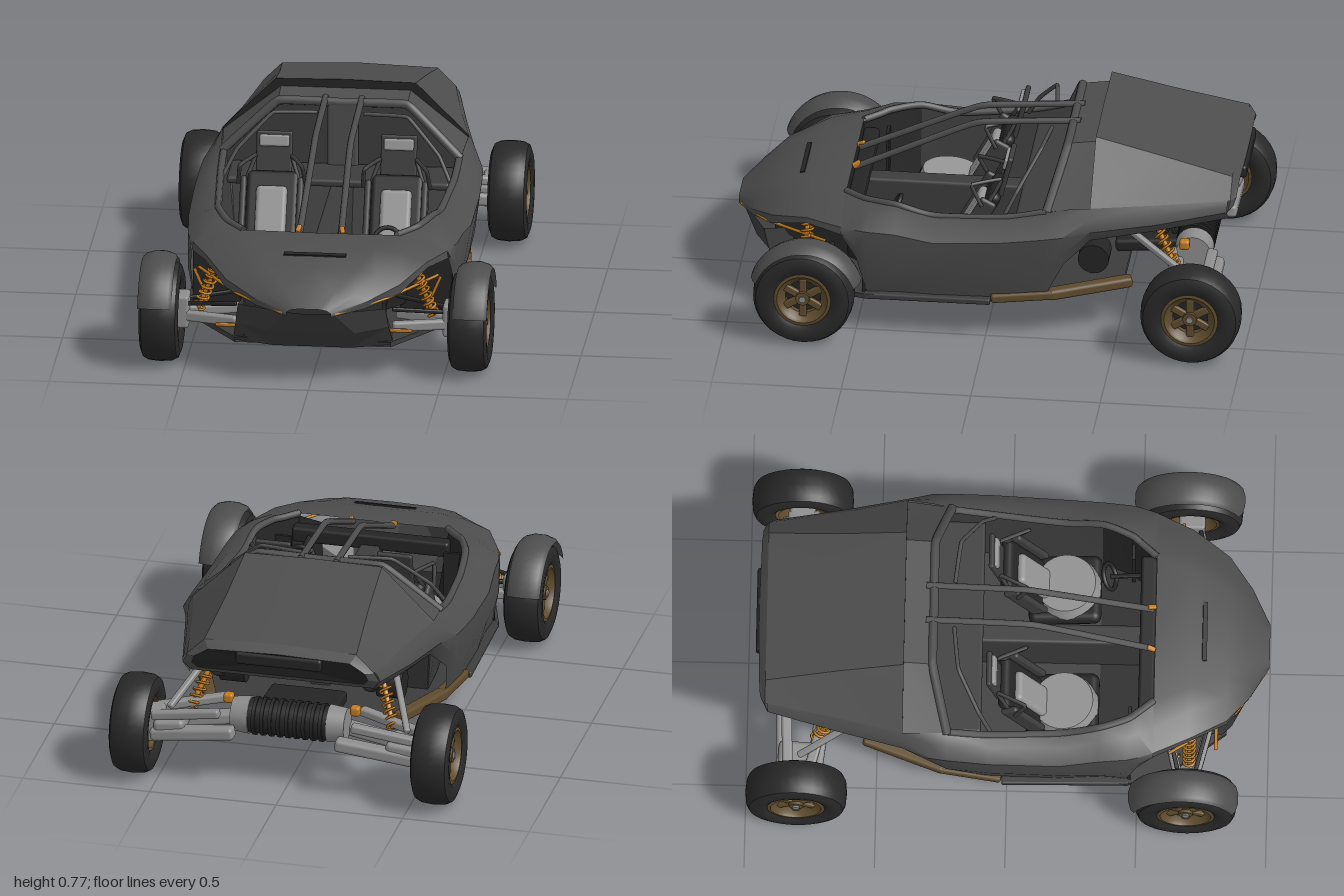
import * as THREE from 'three';
import { toCreasedNormals } from 'three/addons/utils/BufferGeometryUtils.js';
import { RoundedBoxGeometry } from 'three/addons/geometries/RoundedBoxGeometry.js';

const mat = (name, color, side = THREE.FrontSide) => {
  const m = new THREE.MeshStandardMaterial({ color, side });
  m.name = name;
  return m;
};
const V = (p) => new THREE.Vector3(...p);

export function createModel() {
  const car = new THREE.Group();
  car.name = 'buggy';
  const paint = mat('graphite paint', 0x4d4d4d, THREE.DoubleSide);
  const trim = mat('black trim', 0x242424, THREE.DoubleSide);
  const panel = mat('dark panel', 0x3c3c3c, THREE.DoubleSide);
  const rubber = mat('tyre rubber', 0x282828);
  const bronze = mat('bronze', 0x5e4b2d, THREE.DoubleSide);
  const orange = mat('orange', 0xc07a1c);
  const metal = mat('light metal', 0x8c8c8c);
  const fabric = mat('seat fabric', 0x949494);

  const add = (name, geo, m, pos = [0, 0, 0], rot = [0, 0, 0], parent = car) => {
    const mesh = new THREE.Mesh(geo, m);
    mesh.name = name;
    mesh.position.set(...pos);
    mesh.rotation.set(...rot);
    parent.add(mesh);
    return mesh;
  };
  const rbox = (w, h, d, r = 0.012) => new RoundedBoxGeometry(w, h, d, 2, r);

  // Skin over rows of half-section points [x, y, z], mirrored to both sides
  const skin = (name, rows, m, crease = 0.5) => {
    const pos = [], idx = [], n = rows[0].length;
    for (const s of [1, -1]) {
      const base = pos.length / 3;
      rows.forEach((row) => row.forEach(([x, y, z]) => pos.push(s * x, y, z)));
      for (let r = 0; r < rows.length - 1; r++) for (let c = 0; c < n - 1; c++) {
        const a = base + r * n + c, b = a + 1, d = a + n, e = d + 1;
        if (s > 0) idx.push(a, b, d, b, e, d);
        else idx.push(a, d, b, b, d, e);
      }
    }
    const g = new THREE.BufferGeometry();
    g.setAttribute('position', new THREE.Float32BufferAttribute(pos, 3));
    g.setIndex(idx);
    return add(name, toCreasedNormals(g, crease), m);
  };
  const at = (z, pts) => pts.map(([x, y]) => [x, y, z]);

  // Tube through points, straight beam, and coil spring between two points
  const tube = (name, pts, r, m, smooth = 0.1) => add(name, new THREE.TubeGeometry(
    new THREE.CatmullRomCurve3(pts.map(V), false, 'catmullrom', smooth), pts.length * 8, r, 8), m);
  const beam = (name, a, b, w, h, m) => {
    const len = V(a).distanceTo(V(b));
    const mesh = add(name, rbox(w, h, len, Math.min(w, h) * 0.3), m, V(a).lerp(V(b), 0.5).toArray());
    mesh.lookAt(V(b));
    return mesh;
  };
  const coil = (name, a, b, R, turns, m) => {
    const len = V(a).distanceTo(V(b)), pts = [];
    for (let i = 0; i <= turns * 10; i++) {
      const t = i / 10 * Math.PI * 2;
      pts.push(V([R * Math.cos(t), R * Math.sin(t), len * (i / (turns * 10) - 0.5)]));
    }
    const g = new THREE.TubeGeometry(new THREE.CatmullRomCurve3(pts), turns * 12, R * 0.25, 5);
    add(name, g, m, V(a).lerp(V(b), 0.5).toArray()).lookAt(V(b));
    beam(name + 'Damper', a, b, R * 0.8, R * 0.8, m);
  };

  // Hood shell, from the nose back to the cowl
  skin('hood', [
    at(1.0, [[0, 0.33], [0.04, 0.33], [0.07, 0.325], [0.085, 0.315], [0.085, 0.30]]),
    at(0.93, [[0, 0.385], [0.1, 0.38], [0.17, 0.365], [0.22, 0.345], [0.21, 0.315]]),
    at(0.84, [[0, 0.44], [0.17, 0.437], [0.25, 0.425], [0.335, 0.385], [0.335, 0.35]]),
    at(0.70, [[0, 0.475], [0.23, 0.48], [0.33, 0.465], [0.425, 0.43], [0.43, 0.41]]),
    at(0.56, [[0, 0.485], [0.30, 0.487], [0.40, 0.47], [0.49, 0.43], [0.495, 0.40]]),
  ], paint, 0.7);
  add('hoodVent', new THREE.BoxGeometry(0.24, 0.008, 0.018), trim, [0, 0.464, 0.75], [0.25, 0, 0]);

  // Body sides, from the wheel arch to the tail
  const sides = [
    at(0.56, [[0.30, 0.487], [0.40, 0.47], [0.49, 0.43], [0.5, 0.41], [0.495, 0.40]]),
    at(0.50, [[0.35, 0.49], [0.43, 0.48], [0.51, 0.43], [0.515, 0.36], [0.505, 0.31]]),
    at(0.46, [[0.38, 0.495], [0.45, 0.485], [0.52, 0.43], [0.52, 0.29], [0.495, 0.16]]),
    at(0.35, [[0.42, 0.50], [0.47, 0.48], [0.53, 0.43], [0.53, 0.28], [0.49, 0.16]]),
    at(0.20, [[0.435, 0.47], [0.49, 0.46], [0.545, 0.41], [0.535, 0.28], [0.5, 0.16]]),
    at(-0.07, [[0.455, 0.49], [0.5, 0.48], [0.55, 0.43], [0.53, 0.28], [0.5, 0.17]]),
    at(-0.23, [[0.46, 0.525], [0.505, 0.50], [0.545, 0.45], [0.52, 0.29], [0.48, 0.18]]),
    at(-0.30, [[0.467, 0.545], [0.50, 0.515], [0.54, 0.46], [0.52, 0.38], [0.50, 0.325]]),
    at(-0.40, [[0.475, 0.56], [0.495, 0.52], [0.505, 0.47], [0.48, 0.44], [0.46, 0.415]]),
    at(-0.65, [[0.42, 0.56], [0.44, 0.53], [0.45, 0.49], [0.44, 0.47], [0.42, 0.45]]),
    at(-0.92, [[0.37, 0.57], [0.385, 0.55], [0.39, 0.53], [0.375, 0.51], [0.36, 0.49]]),
  ];
  skin('bodySides', sides, paint, 0.6);

  // Roof hoop, intake step and rear deck
  const hoopFront = [[0, 0.72, -0.29], [0.25, 0.72, -0.29], [0.46, 0.53, -0.23]];
  const hoopBack = at(-0.40, [[0, 0.735], [0.25, 0.735], [0.472, 0.553]]);
  const deckFront = at(-0.40, [[0, 0.77], [0.27, 0.765], [0.475, 0.56]]);
  skin('roofHoop', [hoopFront, hoopBack], paint, 0.3);
  skin('roofIntake', [hoopBack, deckFront], trim, 0.3);
  skin('rearDeck', [deckFront, at(-0.65, [[0, 0.715], [0.28, 0.705], [0.42, 0.56]]),
    at(-0.93, [[0, 0.65], [0.30, 0.64], [0.37, 0.57]])], paint, 0.3);

  // Tail fascia with recessed panel, and the liner below the deck
  const tailOuter = [[0, 0.65, -0.93], [0.30, 0.64, -0.93], [0.37, 0.57, -0.93], [0.39, 0.53, -0.92], [0.36, 0.49, -0.90], [0, 0.49, -0.90]];
  const tailInner = [[0, 0.62, -0.96], [0.28, 0.61, -0.955], [0.34, 0.57, -0.95], [0.35, 0.54, -0.94], [0.33, 0.515, -0.925], [0, 0.515, -0.925]];
  skin('tailFascia', [tailOuter, tailInner], paint, 0.3);
  skin('tailPanel', [tailInner, tailInner.map(() => [0, 0.565, -0.93])], trim, 0.3);
  add('tailBar', rbox(0.34, 0.05, 0.03), trim, [0, 0.59, -0.955]);
  skin('deckLiner', [at(-0.36, [[0, 0.52], [0.38, 0.5], [0.46, 0.42]]), at(-0.65, [[0, 0.53], [0.36, 0.51], [0.42, 0.455]]),
    at(-0.90, [[0, 0.51], [0.3, 0.51], [0.36, 0.49]])], trim);
  tube('rearCrossStrip', [[-0.36, 0.45, -0.70], [-0.2, 0.455, -0.75], [0.2, 0.455, -0.75], [0.36, 0.45, -0.70]], 0.014, orange, 0.5);

  // Faceted front bumper
  skin('bumper', [
    [[0, 0.305, 0.99], [0.09, 0.31, 0.985], [0.285, 0.30, 0.88], [0.27, 0.30, 0.78]],
    [[0, 0.21, 0.935], [0.17, 0.21, 0.92], [0.295, 0.22, 0.86], [0.28, 0.22, 0.76]],
    [[0, 0.13, 0.86], [0.15, 0.13, 0.86], [0.31, 0.13, 0.81], [0.3, 0.13, 0.72]],
  ], panel, 0.1);

  // Floor plate, rising towards the rear
  skin('floor', [[0.30, 0.13, 0.84], [0.47, 0.137, 0.62], [0.52, 0.142, 0.46], [0.5, 0.15, -0.02], [0.47, 0.165, -0.25], [0.36, 0.185, -0.52]]
    .map(([x, y, z]) => [[0, y + 0.02, z], [x, y + 0.02, z], [x, y, z], [0, y, z]]), panel, 0.3);

  // Cockpit tub with footwell, tunnel, shelf and bulkhead
  const tub = [
    at(0.84, [[0.27, 0.32], [0.27, 0.22], [0.27, 0.16], [0, 0.16]]),
    ...sides.slice(0, 7).map((row) => {
      const [x, y, z] = row[0];
      return [[x - 0.003, y - 0.01, z], [x - 0.03, 0.3, z], [x - 0.05, 0.18, z], [0, 0.18, z]];
    }),
    at(-0.30, [[0.46, 0.53], [0.44, 0.42], [0.43, 0.40], [0, 0.40]]),
  ];
  skin('footwell', tub.slice(0, 5), trim);
  skin('cockpitTub', tub.slice(4), panel);
  add('tunnel', rbox(0.08, 0.24, 0.86), panel, [0, 0.29, 0.13]);
  add('rearShelf', rbox(0.86, 0.03, 0.2), panel, [0, 0.45, -0.2]);
  const wall = new THREE.Shape([[-0.24, 0.715], [0.24, 0.715], [0.445, 0.535], [0.46, 0.40], [-0.46, 0.40], [-0.445, 0.535]]
    .map((p) => new THREE.Vector2(...p)));
  add('bulkhead', new THREE.ExtrudeGeometry(wall, { depth: 0.012, bevelEnabled: false }), panel, [0, 0, -0.315]);
  add('bulkheadSpine', rbox(0.12, 0.3, 0.03), paint, [0, 0.57, -0.29]);
  add('dashboard', rbox(0.62, 0.06, 0.06), trim, [0, 0.42, 0.53]);
  add('steeringWheel', new THREE.TorusGeometry(0.05, 0.009, 8, 24), trim, [0.24, 0.40, 0.38], [-0.5, 0, 0]);
  beam('steeringColumn', [0.24, 0.40, 0.38], [0.24, 0.42, 0.53], 0.016, 0.016, trim);

  // Tyre, rim and fender profiles [radius, offset], turned about the axle
  const lathe = (pts, seg, ...arc) => new THREE.LatheGeometry(pts.map((p) => new THREE.Vector2(...p)), seg, ...arc);
  const tyreGeo = toCreasedNormals(lathe([[0.105, -0.06], [0.125, -0.073], [0.155, -0.076], [0.18, -0.066], [0.191, -0.045],
    [0.195, 0], [0.191, 0.045], [0.18, 0.066], [0.155, 0.076], [0.125, 0.073], [0.105, 0.06]], 36), 0.6);
  const rimGeo = toCreasedNormals(lathe([[0.110, -0.06], [0.11, 0.064], [0.098, 0.066], [0.092, 0.052], [0.068, 0.036], [0.066, -0.02], [0.095, -0.06]], 32), 0.6);
  const fenderGeo = lathe([[0.198, -0.066], [0.212, -0.052], [0.222, -0.02], [0.222, 0.02], [0.212, 0.052], [0.198, 0.066]],
    20, -Math.PI * 0.9, Math.PI * 0.8);

  for (const s of [1, -1]) {
    // Wheels
    for (const [label, z] of [['front', 0.69], ['rear', -0.805]]) {
      const wheel = new THREE.Group();
      wheel.name = label + 'Wheel';
      wheel.position.set(s * 0.595, 0.195, z);
      car.add(wheel);
      const turn = [0, 0, -s * Math.PI / 2];
      add('tyre', tyreGeo, rubber, [0, 0, 0], turn, wheel);
      add('rim', rimGeo, bronze, [0, 0, 0], turn, wheel);
      add('brakeDisc', new THREE.CylinderGeometry(0.068, 0.068, 0.03, 24), trim, [0, 0, 0], turn, wheel);
      for (let i = 0; i < 6; i++) {
        const a = i * Math.PI / 3;
        add('spoke', rbox(0.022, 0.06, 0.03, 0.006), bronze, [s * 0.035, 0.05 * Math.cos(a), 0.05 * Math.sin(a)], [a, 0, 0], wheel);
      }
      add('hub', new THREE.CylinderGeometry(0.027, 0.03, 0.045, 16), bronze, [s * 0.035, 0, 0], turn, wheel);
      add('hubNut', new THREE.CylinderGeometry(0.014, 0.014, 0.02, 6), metal, [s * 0.055, 0, 0], turn, wheel);
      add('upright', rbox(0.06, 0.13, 0.1), metal, [-s * 0.075, 0.01, 0], [0, 0, 0], wheel);
    }
    add('frontFender', fenderGeo, paint, [s * 0.608, 0.2, 0.68], [0, 0, -Math.PI / 2]);

    // Front suspension
    for (const dz of [-0.08, 0.08]) {
      beam('frontLowerArm', [s * 0.30, 0.19, 0.69 + dz], [s * 0.53, 0.19, 0.69 + dz * 0.3], 0.035, 0.04, metal);
      beam('frontUpperArm', [s * 0.30, 0.26, 0.69 + dz], [s * 0.53, 0.235, 0.69 + dz * 0.3], 0.016, 0.016, trim);
    }
    coil('frontSpring', [s * 0.385, 0.39, 0.70], [s * 0.455, 0.215, 0.70], 0.022, 8, orange);
    beam('frontLink', [s * 0.475, 0.36, 0.66], [s * 0.42, 0.23, 0.66], 0.012, 0.012, orange);
    beam('frontLowerLink', [s * 0.29, 0.185, 0.80], [s * 0.38, 0.185, 0.80], 0.014, 0.014, orange);
    tube('hoodPiping', [[s * 0.46, 0.352, 0.62], [s * 0.29, 0.34, 0.87], [s * 0.10, 0.308, 0.988]], 0.006, orange);
    add('archWall', new THREE.BoxGeometry(0.2, 0.27, 0.012), trim, [s * 0.4, 0.295, 0.47]);

    // Rear suspension and drive
    for (const dz of [-0.07, 0.09]) {
      beam('rearLowerArm', [s * 0.2, 0.22, -0.79 + dz], [s * 0.53, 0.18, -0.805 + dz * 0.7], 0.06, 0.05, metal);
      beam('rearUpperArm', [s * 0.26, 0.29, -0.78 + dz], [s * 0.53, 0.25, -0.805 + dz * 0.5], 0.04, 0.035, metal);
    }
    beam('rearCarrier', [s * 0.40, 0.22, -0.80], [s * 0.52, 0.21, -0.805], 0.15, 0.06, metal);
    beam('trailingLink', [s * 0.36, 0.41, -0.55], [s * 0.47, 0.27, -0.80], 0.025, 0.025, metal);
    coil('rearSpring', [s * 0.33, 0.43, -0.64], [s * 0.40, 0.25, -0.74], 0.022, 8, orange);
    coil('rearDarkSpring', [s * 0.3, 0.43, -0.46], [s * 0.3, 0.42, -0.72], 0.032, 8, trim);
    add('driveHousing', new THREE.CylinderGeometry(0.06, 0.06, 0.1, 20), trim, [s * 0.31, 0.28, -0.40], [0, 0, Math.PI / 2]);
    add('motorCap', new THREE.CylinderGeometry(0.074, 0.066, 0.07, 20), metal, [s * 0.19, 0.26, -0.77], [0, 0, s * Math.PI / 2]);
    add('motorMount', rbox(0.04, 0.04, 0.04), orange, [s * 0.25, 0.31, -0.74]);

    // Sills and skirts
    beam('frontSkirt', [s * 0.495, 0.152, 0.47], [s * 0.505, 0.158, -0.02], 0.05, 0.024, panel);
    beam('rearSkirt', [s * 0.50, 0.168, -0.02], [s * 0.47, 0.182, -0.26], 0.05, 0.036, bronze);
    beam('rearSkirtEnd', [s * 0.475, 0.18, -0.24], [s * 0.37, 0.205, -0.55], 0.05, 0.042, bronze);

    // Cockpit frame
    tube('openingRim', sides.slice(0, 7).map((r) => [s * (r[0][0] - 0.006), r[0][1], r[0][2]]), 0.014, paint, 0.4);
    tube('hoopRim', hoopFront.map(([x, y, z]) => [s * x, y - 0.005, z]), 0.018, paint);
    tube('canopyBar', [[s * 0.08, 0.48, 0.55], [s * 0.07, 0.67, 0.14], [s * 0.07, 0.70, 0.04], [s * 0.07, 0.725, -0.32]], 0.013, paint, 0.3);
    beam('barFoot', [s * 0.088, 0.485, 0.56], [s * 0.08, 0.50, 0.53], 0.018, 0.022, orange);
    tube('rollFrame', [[s * 0.09, 0.70, -0.21], [s * 0.26, 0.70, -0.19], [s * 0.39, 0.575, -0.11], [s * 0.44, 0.48, -0.06]], 0.008, paint);

    // Seat
    const seat = new THREE.Group();
    seat.name = 'seat';
    seat.position.x = s * 0.24;
    car.add(seat);
    const tilt = [-0.5, 0, 0];
    add('seatBase', rbox(0.27, 0.07, 0.28, 0.03), trim, [0, 0.235, 0.21], [-0.1, 0, 0], seat);
    add('seatCushion', new THREE.CylinderGeometry(0.115, 0.13, 0.06, 28), fabric, [0, 0.285, 0.215], [-0.12, 0, 0], seat);
    add('seatBack', rbox(0.21, 0.29, 0.05, 0.025), trim, [0, 0.395, 0.045], tilt, seat);
    add('seatBackPad', rbox(0.12, 0.22, 0.04, 0.018), fabric, [0, 0.385, 0.085], tilt, seat);
    add('headrestShell', rbox(0.14, 0.17, 0.02, 0.008), panel, [0, 0.585, -0.055], [-0.25, 0, 0], seat);
    add('headrest', rbox(0.115, 0.045, 0.02, 0.008), fabric, [0, 0.635, -0.055], [-0.25, 0, 0], seat);
    for (const w of [-1, 1]) {
      add('seatWing', rbox(0.025, 0.24, 0.07), panel, [w * 0.11, 0.40, 0.06], tilt, seat);
      tube('shoulderLoop', [[0.13, 0.49, 0.03], [0.12, 0.575, 0.07], [0.07, 0.58, -0.04], [0.1, 0.50, 0.0]]
        .map(([x, y, z]) => [s * 0.24 + w * x, y, z]), 0.008, panel);
    }
  }

  // Ribbed motor between the rear wheels
  add('motor', new THREE.CylinderGeometry(0.068, 0.068, 0.34, 24), trim, [0, 0.26, -0.77], [0, 0, Math.PI / 2]);
  for (let i = -4; i <= 4; i++) {
    add('motorRib', new THREE.CylinderGeometry(0.075, 0.075, 0.014, 24), trim, [i * 0.033, 0.26, -0.77], [0, 0, Math.PI / 2]);
  }
  beam('subframe', [0, 0.23, -0.46], [0, 0.25, -0.72], 0.3, 0.05, trim);
  return car;
}
